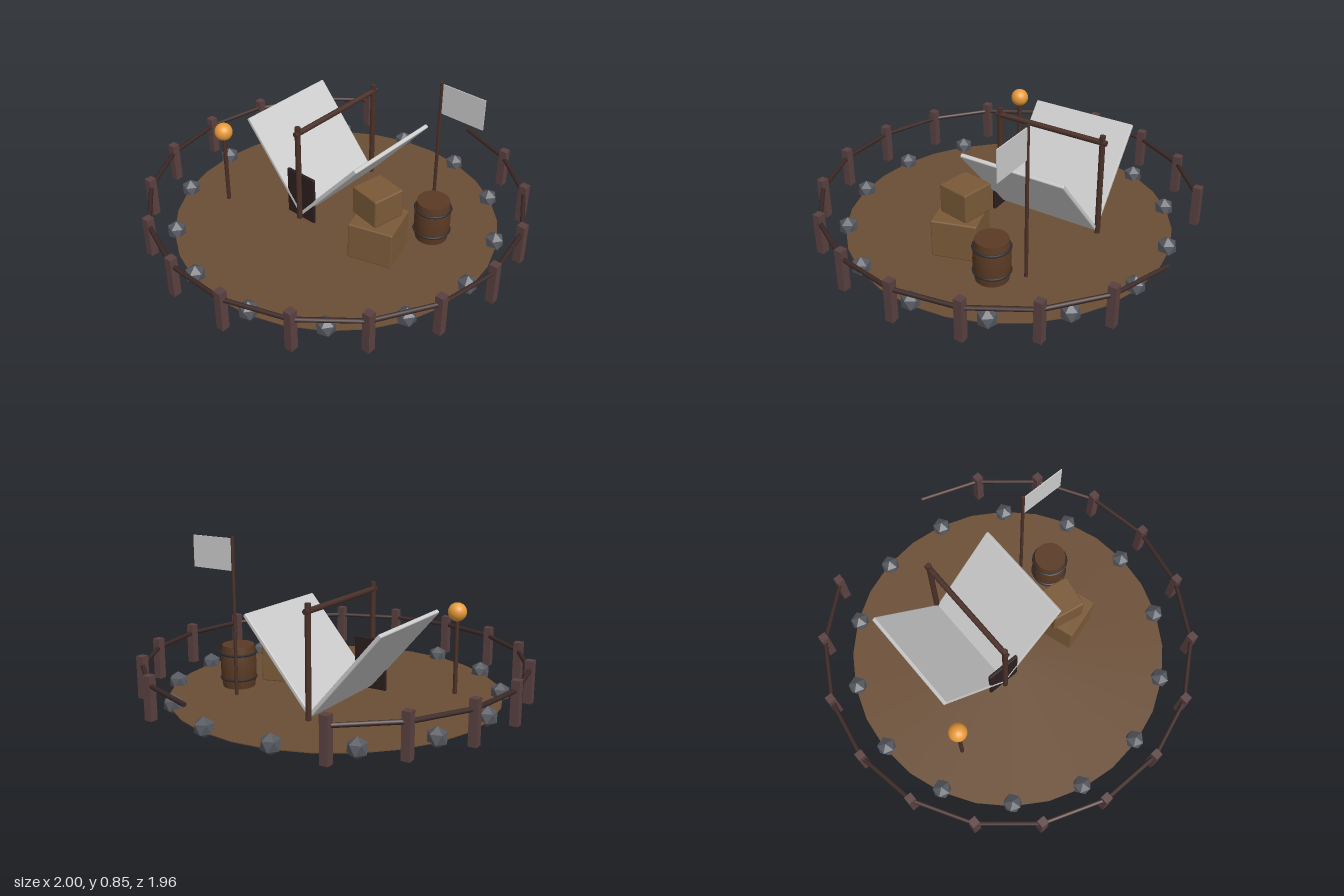
import * as THREE from 'three';
import { RoundedBoxGeometry } from 'three/addons/geometries/RoundedBoxGeometry.js';

const mat = (color, extra = {}) => new THREE.MeshStandardMaterial({ color, ...extra });

export function createModel() {
  const root = new THREE.Group();
  const earth = mat(0x6b4e35, { side: THREE.DoubleSide });
  const postWood = mat(0x5a4040);
  const railWood = mat(0x3a2826);
  const poleWood = mat(0x4a3028);
  const barrelWood = mat(0x5a3a24);
  const crateWood = mat(0x7a5a38);
  const iron = mat(0x2b2b30);
  const stone = mat(0x55585f, { flatShading: true });
  const cloth = mat(0xcccccc);
  const GROUND = 0.037;

  const add = (name, geo, material, x = 0, y = 0, z = 0, parent = root) => {
    const m = new THREE.Mesh(geo, material);
    m.name = name;
    m.position.set(x, y, z);
    parent.add(m);
    return m;
  };
  const group = (name) => {
    const g = new THREE.Group();
    g.name = name;
    root.add(g);
    return g;
  };
  // round bar between two points
  const bar = (name, a, b, r, material, parent = root, sides = 10) => {
    const d = b.clone().sub(a);
    const mid = a.clone().add(b).multiplyScalar(0.5);
    const m = add(name, new THREE.CylinderGeometry(r, r, d.length(), sides), material, mid.x, mid.y, mid.z, parent);
    m.quaternion.setFromUnitVectors(new THREE.Vector3(0, 1, 0), d.normalize());
    return m;
  };
  const v = (x, y, z) => new THREE.Vector3(x, y, z);
  const onRing = (r, deg, y) => {
    const a = THREE.MathUtils.degToRad(deg);
    return v(r * Math.cos(a), y, -0.004 - r * Math.sin(a));
  };

  // Ground disc
  add('ground', new THREE.CylinderGeometry(0.857, 0.857, 0.004, 28), earth, 0, GROUND - 0.002, -0.004);

  // Ring of stones, each with a corner pointing up
  const stones = group('stoneRing');
  const stoneGeo = new THREE.IcosahedronGeometry(0.053, 0).rotateZ(-Math.atan(2 / (1 + Math.sqrt(5))));
  for (let i = 0; i < 14; i++) {
    const p = onRing(0.843, (i * 360) / 14, 0.053);
    add('stone', stoneGeo, stone, p.x, p.y, p.z, stones);
  }

  // Fence with an opening at the back
  const fence = group('fence');
  const postGeo = new THREE.BoxGeometry(0.042, 0.22, 0.042);
  for (let deg = 120; deg <= 420; deg += 20) {
    const p = onRing(0.979, deg, 0.147);
    add('fencePost', postGeo, postWood, p.x, p.y, p.z, fence);
    bar('fenceRail', onRing(0.979, deg, 0.207), onRing(0.979, deg + 20, 0.207), 0.012, railWood, fence, 8);
  }

  // Tent: two sloping sheets, two poles, ridge and door
  const tent = group('tent');
  const tx = -0.137, tz = -0.163;
  const sheet = new RoundedBoxGeometry(0.58, 0.022, 0.583, 1, 0.006);
  for (const s of [-1, 1]) {
    const m = add('tentSheet', sheet, cloth, tx + s * 0.188, 0.277, tz, tent);
    m.rotation.z = s * 0.865;
  }
  for (const z of [0.136, -0.46]) {
    bar('tentPole', v(tx, GROUND - 0.002, z), v(tx, 0.6, z), 0.015, poleWood, tent);
  }
  bar('ridgePole', v(tx, 0.562, -0.483), v(tx, 0.562, 0.155), 0.015, poleWood, tent);
  add('tentDoor', new RoundedBoxGeometry(0.188, 0.274, 0.018, 1, 0.006), mat(0x2c1e1e), tx, 0.172, 0.118, tent);

  // Stacked crates
  const big = add('largeCrate', new RoundedBoxGeometry(0.236, 0.206, 0.236, 1, 0.008), crateWood, 0.342, 0.139, 0.064);
  big.rotation.y = 0.3;
  const small = add('smallCrate', new RoundedBoxGeometry(0.178, 0.155, 0.178, 1, 0.008), crateWood, 0.318, 0.32, 0.047);
  small.rotation.y = -0.18;

  // Barrel with two hoops
  const barrel = group('barrel');
  barrel.position.set(0.476, GROUND - 0.002, -0.21);
  const profile = [[0, 0], [0.084, 0], [0.084, 0], [0.091, 0.055], [0.094, 0.113], [0.091, 0.17], [0.084, 0.226], [0.084, 0.226], [0, 0.226]]
    .map(([x, y]) => new THREE.Vector2(x, y));
  add('barrelBody', new THREE.LatheGeometry(profile.slice(2, 7), 20), barrelWood, 0, 0, 0, barrel);
  const lid = new THREE.CircleGeometry(0.084, 20);
  add('barrelLid', lid, barrelWood, 0, 0.226, 0, barrel).rotation.x = -Math.PI / 2;
  add('barrelBase', lid, barrelWood, 0, 0, 0, barrel).rotation.x = Math.PI / 2;
  for (const y of [0.05, 0.182]) {
    add('barrelHoop', new THREE.TorusGeometry(0.092, 0.006, 6, 24), iron, 0, y, 0, barrel).rotation.x = Math.PI / 2;
  }

  // Lantern on a post
  bar('lanternPost', v(-0.55, GROUND - 0.002, 0.27), v(-0.55, 0.44, 0.27), 0.011, poleWood);
  add('lantern', new THREE.SphereGeometry(0.048, 20, 14), mat(0xe89a38), -0.55, 0.467, 0.27);

  // Flag on its pole
  bar('flagPole', v(0.385, GROUND - 0.002, -0.345), v(0.385, 0.85, -0.345), 0.009, poleWood);
  add('flag', new THREE.BoxGeometry(0.245, 0.163, 0.005), cloth, 0.513, 0.76, -0.345);

  return root;
}
